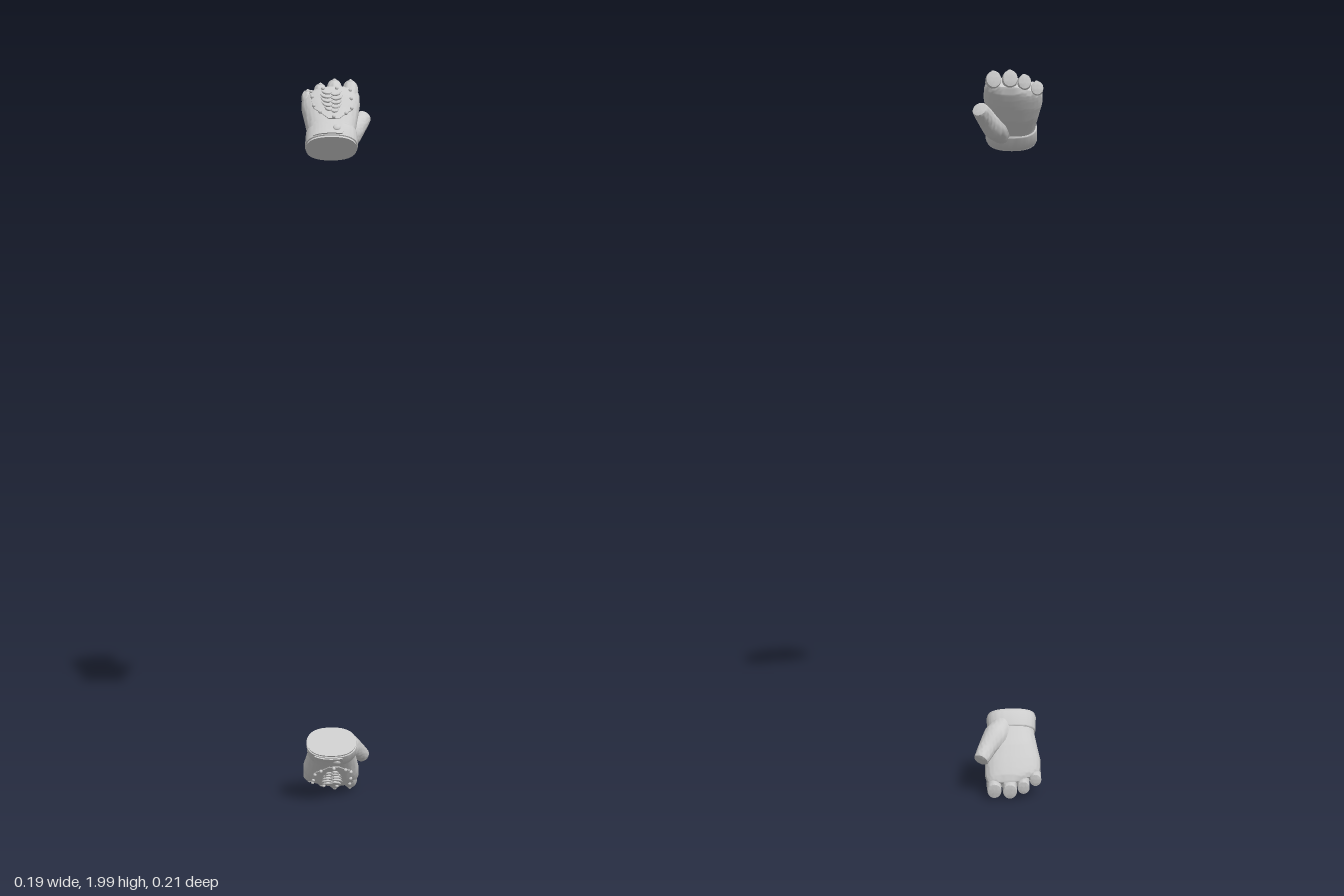
import * as THREE from 'three';
import { mergeGeometries, toCreasedNormals } from 'three/addons/utils/BufferGeometryUtils.js';

// Glove space: x across, y from wrist to fingers, z out of the back of the hand.
const V = (x, y, z) => new THREE.Vector3(x, y, z);
const WRIST_Z = 0.074, WRIST_Y = 1.81, S = Math.SQRT1_2, POWER = 2.4;

// Closed solid through rings of equal point count, with both ends capped
function loft(rings, crease = 0.75) {
  const m = rings[0].length, pts = rings.flat(), idx = [];
  for (let i = 0; i < rings.length - 1; i++) for (let j = 0; j < m; j++) {
    const a = i * m + j, b = i * m + (j + 1) % m;
    idx.push(a, b, a + m, b, b + m, a + m);
  }
  [0, rings.length - 1].forEach((r, end) => {
    const c = rings[r].reduce((s, p) => s.add(p), V(0, 0, 0)).divideScalar(m);
    pts.push(c);
    for (let j = 0; j < m; j++) {
      const a = r * m + j, b = r * m + (j + 1) % m;
      idx.push(...(end ? [a, b, pts.length - 1] : [b, a, pts.length - 1]));
    }
  });
  // turn the faces outward
  let volume = 0;
  for (let i = 0; i < idx.length; i += 3)
    volume += pts[idx[i]].dot(pts[idx[i + 1]].clone().cross(pts[idx[i + 2]]));
  if (volume < 0) idx.reverse();
  const g = new THREE.BufferGeometry().setFromPoints(pts);
  g.setIndex(idx);
  return toCreasedNormals(g, crease);
}

// Hand sections: y, centre x, half width, centre z, half thickness
const SECTIONS = [
  [0, -0.017, 0.067, 0, 0.044], [0.03, -0.016, 0.064, 0, 0.042], [0.06, -0.016, 0.064, 0, 0.042],
  [0.11, -0.016, 0.071, 0, 0.043], [0.155, -0.016, 0.078, 0.003, 0.041], [0.185, -0.016, 0.078, 0.004, 0.037],
  [0.205, -0.016, 0.074, 0, 0.028], [0.215, -0.016, 0.067, -0.003, 0.015],
];
function section(y) {
  let i = 0;
  while (i < SECTIONS.length - 2 && y > SECTIONS[i + 1][0]) i++;
  const a = SECTIONS[i], b = SECTIONS[i + 1];
  const t = THREE.MathUtils.clamp((y - a[0]) / (b[0] - a[0]), 0, 1);
  return a.map((v, k) => v + (b[k] - v) * t);
}
// The knuckle line falls back toward the little finger
const slant = (x, y) => 0.35 * Math.max(0, -0.02 - x) * (y / 0.2) ** 2;

function ring(y, grow = 0, n = 56) {
  const [, cx, hw, cz, ht] = section(y);
  return Array.from({ length: n }, (_, j) => {
    const a = j / n * Math.PI * 2, c = Math.cos(a), s = Math.sin(a);
    const x = cx + Math.sign(c) * Math.abs(c) ** (2 / POWER) * (hw + grow);
    return V(x, y - slant(x, y), cz + Math.sign(s) * Math.abs(s) ** (2 / POWER) * (ht + grow));
  });
}
// Height of the back of the hand
function backZ(x, y) {
  const [, cx, hw, cz, ht] = section(y + slant(x, y));
  return cz + ht * Math.max(0, 1 - Math.abs((x - cx) / hw) ** POWER) ** (1 / POWER);
}
// Point on the back of the hand, from plan position
function onBack(x, planZ, lift = 0) {
  let z = 0.04;
  for (let i = 0; i < 12; i++) z = (z + backZ(x, z + (WRIST_Z - planZ) / S)) / 2;
  return V(x, z + (WRIST_Z - planZ) / S, z + lift);
}
// Thin panel lying on the back of the hand; edges(y) returns [left, right]
function panel(y0, y1, edges, thick) {
  const rows = 20, n = 18, rings = [];
  for (let i = 0; i <= rows; i++) {
    const y = y0 + (y1 - y0) * i / rows, [l, r] = edges(y), top = [], under = [];
    for (let j = 0; j <= n; j++) {
      const x = l + (r - l) * j / n, z = backZ(x, y);
      top.push(V(x, y, z + thick));
      under.unshift(V(x, y, z - 0.003));
    }
    rings.push([...top, ...under]);
  }
  return loft(rings, 0.6);
}
// Round limb along a curve; widths are in x, flat scales the other radius
function limb(points, radii, flat = 1, dome = 0, n = 24, steps = 14) {
  const curve = new THREE.CatmullRomCurve3(points), rings = [];
  const add = (t, scale, push) => {
    const dir = curve.getTangent(t), c = curve.getPoint(t).addScaledVector(dir, push);
    const f = t * (radii.length - 1), k = Math.min(Math.floor(f), radii.length - 2);
    const r = THREE.MathUtils.lerp(radii[k], radii[k + 1], f - k) * scale;
    const up = V(0, 0, 1).addScaledVector(dir, -dir.z).normalize(), side = dir.clone().cross(up);
    rings.push(Array.from({ length: n }, (_, j) => {
      const a = j / n * Math.PI * 2;
      return c.clone().addScaledVector(side, Math.cos(a) * r).addScaledVector(up, Math.sin(a) * r * flat);
    }));
  };
  for (let i = 0; i <= steps; i++) add(i / steps, 1, 0);
  if (dome) for (const [s, d] of [[0.95, 0.5], [0.7, 0.85], [0.35, 1]]) add(1, s, dome * d);
  return loft(rings);
}
const stud = (p, r) => new THREE.SphereGeometry(r, 14, 10).translate(p.x, p.y, p.z).toNonIndexed();

function gloveParts() {
  const parts = {};
  // palm and wrist
  const body = [];
  for (let i = 0; i <= 43; i++) body.push(ring(i * 0.005));
  parts.hand = loft(body);

  // open-ended fingers: x, end y, end z, width
  const bend = 35 * Math.PI / 180, dir = V(0, Math.cos(bend), -Math.sin(bend)), up = V(0, Math.sin(bend), Math.cos(bend));
  const studs = [];
  [['littleFinger', -0.077, 0.208, -0.014, 0.0165], ['ringFinger', -0.043, 0.23, -0.013, 0.0175],
    ['middleFinger', -0.005, 0.24, -0.011, 0.02], ['indexFinger', 0.038, 0.238, -0.012, 0.02]]
    .forEach(([name, x, y, z, w]) => {
      const end = V(x, y, z), knuckle = end.clone().addScaledVector(dir, -0.042);
      const root = V(x * 0.92, knuckle.y - 0.04, knuckle.z - 0.004);
      parts[name] = limb([root, knuckle, end], [w, w * 1.04, w * 0.97], 1.13, 0.004);
      studs.push(stud(end.clone().addScaledVector(dir, -0.032).addScaledVector(up, w * 1.15), 0.0062));
    });

  // thumb
  parts.thumb = limb([V(0, 0.03, -0.014), V(0.03, 0.078, -0.027), V(0.055, 0.118, -0.034), V(0.073, 0.155, -0.04)],
    [0.03, 0.036, 0.026, 0.021], 0.95, 0.004, 28, 20);

  // shield-shaped plate
  const lerp = THREE.MathUtils.lerp;
  parts.backPlate = panel(0.068, 0.193, y => {
    const t = Math.min(1, (y - 0.068) / 0.045), k = Math.max(0, (y - 0.113) / 0.08);
    return [lerp(-0.024, -0.064, t) - 0.011 * k, lerp(0.004, 0.042, t) + 0.004 * k];
  }, 0.0025);

  // wrist strap, its overlapping end and the snap
  parts.wristStrap = loft([[0.005, -0.002], [0.007, 0.003], [0.01, 0.004], [0.05, 0.004], [0.053, 0.003], [0.055, -0.002]]
    .map(([y, g]) => ring(y, g)), 0.9);
  parts.strapEnd = panel(0.009, 0.051, y => {
    const c = Math.abs(y - 0.03) / 0.021;
    return [-0.065, 0.014 - 0.004 * c ** 6];
  }, 0.0075);
  parts.strapSnap = new THREE.SphereGeometry(0.01, 20, 12).scale(1, 1, 0.5)
    .translate(-0.003, 0.03, backZ(-0.003, 0.03) + 0.008).toNonIndexed();

  // studs around the plate, in plan positions
  [[-0.068, -0.027], [-0.037, -0.024], [0, -0.024], [0.036, -0.028], [-0.066, -0.007], [0.038, -0.005],
    [-0.062, 0.016], [0.038, 0.016], [-0.046, 0.037], [0.023, 0.037], [-0.01, 0.052]]
    .forEach(([x, z]) => studs.push(stud(onBack(x, z, 0.0035), 0.005)));
  parts.studs = mergeGeometries(studs);

  // raised ornament of curling strands
  const strands = [];
  for (const side of [-1, 1]) for (let i = 0; i < 5; i++) {
    const z = -0.01 + i * 0.0105 + side * 0.002, reach = [0.026, 0.03, 0.028, 0.026, 0.019][i];
    const path = [[-0.1, 0.002], [0.3, 0.006], [0.7, 0.003], [1, -0.006]]
      .map(([t, dz]) => onBack(-0.015 + side * reach * t, z + dz, 0.004));
    strands.push(limb(path, [0.001, 0.0038, 0.0038, 0.001], 1, 0, 10, 14));
  }
  parts.ornament = mergeGeometries(strands);
  return parts;
}

// Mirror image, front to back, with the faces turned round again
function mirrored(geometry) {
  const g = geometry.clone();
  for (const key of ['position', 'normal']) {
    const a = g.attributes[key];
    for (let i = 0; i < a.count; i += 3) {
      const p = [0, 2, 1].map(k => V().fromBufferAttribute(a, i + k));
      p.forEach((v, k) => a.setXYZ(i + k, v.x, v.y, -v.z));
    }
  }
  return g;
}

export function createModel() {
  const model = new THREE.Group();
  model.name = 'gloves';
  const material = new THREE.MeshStandardMaterial({ color: 0xcccccc });
  const parts = gloveParts();
  for (const lower of [false, true]) {
    const glove = new THREE.Group();
    glove.name = lower ? 'lowerGlove' : 'upperGlove';
    for (const [name, geometry] of Object.entries(parts)) {
      const mesh = new THREE.Mesh(lower ? mirrored(geometry) : geometry, material);
      mesh.name = name;
      glove.add(mesh);
    }
    glove.rotation.x = lower ? -Math.PI * 0.75 : -Math.PI / 4;
    glove.position.set(0, lower ? 2 - WRIST_Y : WRIST_Y, WRIST_Z);
    model.add(glove);
  }
  return model;
}
